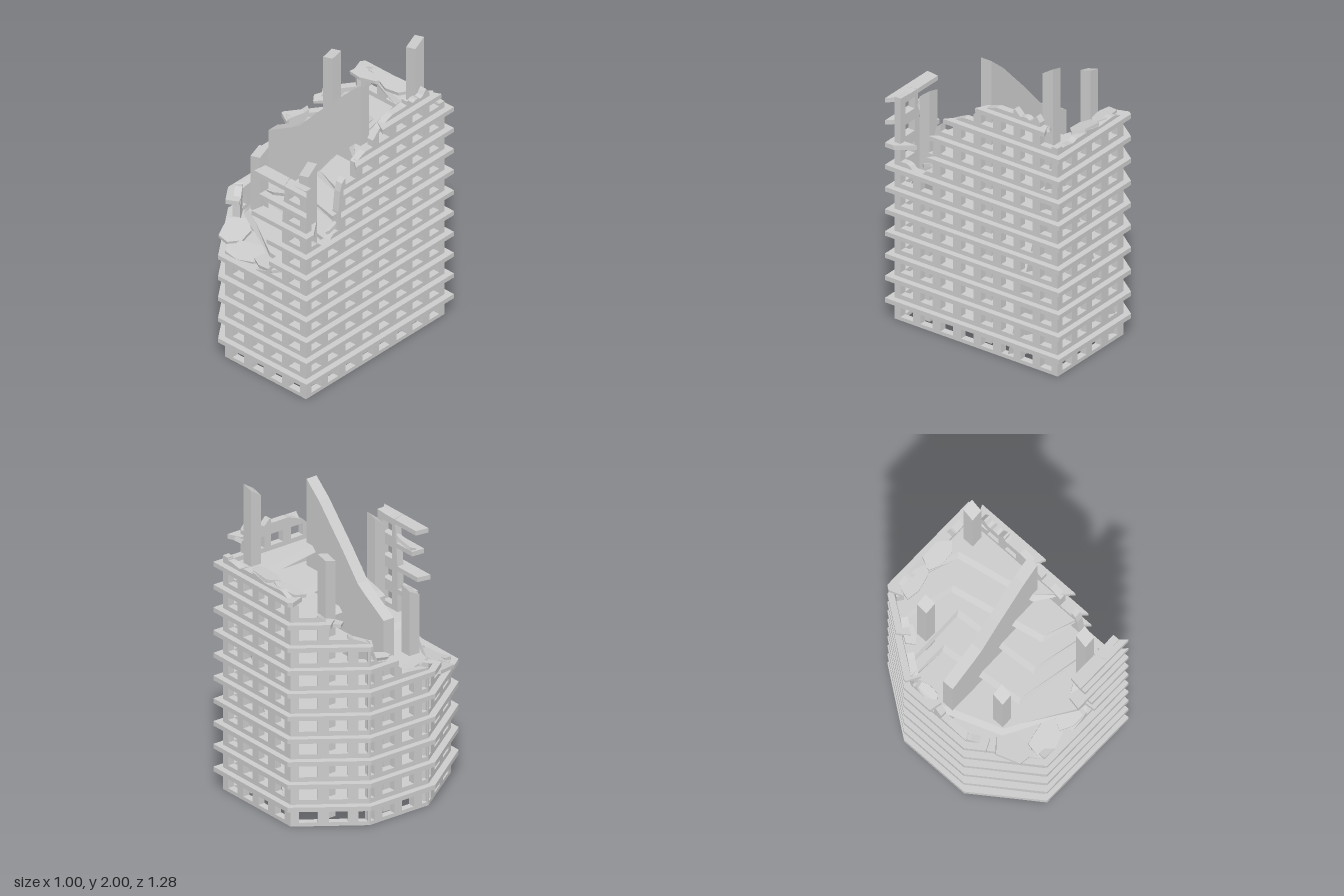
import * as THREE from 'three';
import { mergeGeometries } from 'three/addons/utils/BufferGeometryUtils.js';

const PITCH = 0.149;
// plan corners [x, z]: wall face and slab overhang
const WALL = [[-0.19, 0.6], [0.46, 0.6], [0.46, -0.6], [-0.19, -0.6], [-0.46, -0.22], [-0.46, 0.22]];
const RIM = [[-0.21, 0.64], [0.5, 0.64], [0.5, -0.64], [-0.21, -0.64], [-0.5, -0.24], [-0.5, 0.24]];
const GRID_Z = [0.51, 0.365, 0.215, 0.065, -0.08, -0.23, -0.37, -0.515];
const GRID_X = [-0.085, 0.075, 0.22, 0.365];

// each side: measuring axis (0 = x, 1 = z), broken top line as [position, height]
const SIDES = [
  { name: 'frontWall', axis: 0, top: [[-0.19, 0.76], [0, 0.72], [0.14, 0.77], [0.24, 0.9], [0.27, 1.2], [0.29, 1.48], [0.46, 1.49]] },
  { name: 'leftSideWall', axis: 1, top: [[0.6, 1.47], [0.56, 1.3], [0.51, 1.08], [0.43, 1], [0.36, 1.07], [0.32, 1.2], [0.3, 1.38],
    [0.2, 1.46], [0.04, 1.54], [-0.04, 1.62], [-0.15, 1.66], [-0.26, 1.66], [-0.28, 1.7], [-0.34, 1.64], [-0.36, 1.71], [-0.4, 1.64],
    [-0.44, 1.7], [-0.5, 1.62], [-0.55, 1.53], [-0.6, 1.53]] },
  { name: 'backWall', axis: 0, top: [[0.46, 1.53], [0.3, 1.5], [0.22, 1.54], [0.05, 1.5], [-0.1, 1.51], [-0.19, 1.47]] },
  { name: 'backCornerWall', axis: 1, top: [[-0.6, 1.47], [-0.45, 1.36], [-0.4, 1.3], [-0.3, 1.22], [-0.22, 1.19]] },
  { name: 'rightSideWall', axis: 1, top: [[-0.22, 1.2], [-0.16, 1.05], [-0.05, 1.03], [0.05, 0.92], [0.22, 0.9]] },
  { name: 'frontCornerWall', axis: 1, top: [[0.22, 0.93], [0.3, 0.88], [0.4, 0.76], [0.6, 0.74]] },
];

const mat = () => new THREE.MeshStandardMaterial({ color: 0xcccccc, flatShading: true });
const lerp2 = (a, b, t) => [a[0] + (b[0] - a[0]) * t, a[1] + (b[1] - a[1]) * t];
const levelY = (k) => 0.113 + k * PITCH;

function add(parent, geo, name) {
  const m = new THREE.Mesh(geo, mat());
  m.name = name;
  parent.add(m);
  return m;
}

function prism(pts, depth) {
  return new THREE.ExtrudeGeometry(new THREE.Shape(pts.map((p) => new THREE.Vector2(p[0], p[1]))), { depth, bevelEnabled: false });
}

// horizontal plate from [x, z] corners
function plate(pts, y, h = 0.03) {
  return prism(pts.map(([x, z]) => [x, -z]), h).rotateX(-Math.PI / 2).translate(0, y, 0);
}

// height of a broken line at fraction t
function heightAt(line, t) {
  const s = line[0][0] + (line[line.length - 1][0] - line[0][0]) * t;
  for (let i = 0; i < line.length - 1; i++) {
    const [a, ha] = line[i], [b, hb] = line[i + 1];
    const f = (s - a) / (b - a);
    if (f <= 1.0001) return ha + (hb - ha) * Math.max(0, f);
  }
  return line[line.length - 1][1];
}

// windowed wall made of piers and spandrels below its broken top
function buildWall(side, i) {
  const p0 = WALL[i], p1 = WALL[(i + 1) % 6], a = side.axis;
  const len = Math.hypot(p1[0] - p0[0], p1[1] - p0[1]);
  const frac = (s) => (s - p0[a]) / (p1[a] - p0[a]);
  const wins = (a ? GRID_Z : GRID_X)
    .map((c) => [frac(c - 0.045), frac(c + 0.045)].sort((x, y) => x - y))
    .map(([x, y]) => [Math.max(x, 0.025), Math.min(y, 0.975)])
    .filter(([x, y]) => y - x > 0.03).sort((x, y) => x[0] - y[0]);
  const geos = [];
  const top = (t) => heightAt(side.top, t);
  const panel = (t0, t1, y0, y1) => {
    const pts = [[t0 * len, y0], [t1 * len, y0]];
    for (let k = 4; k >= 0; k--) {
      const t = t0 + (t1 - t0) * k / 4;
      pts.push([t * len, Math.min(y1, top(t))]);
    }
    if (pts.slice(2).every((p) => p[1] > y0 + 0.004)) geos.push(prism(pts, 0.045));
  };
  let t = 0;
  for (const [w0, w1] of [...wins, [1, 1]]) {
    panel(t, w0, 0, 9);
    t = w1;
  }
  for (const [w0, w1] of wins) {
    panel(w0, w1, 0, 0.024);
    for (let k = 0; k < 11; k++) panel(w0, w1, k * PITCH + 0.1, (k + 1) * PITCH + 0.024);
  }
  const u = new THREE.Vector3((p1[0] - p0[0]) / len, 0, (p1[1] - p0[1]) / len);
  const up = new THREE.Vector3(0, 1, 0), n = u.clone().cross(up);
  const m = new THREE.Matrix4().makeBasis(u, up, n).setPosition(p0[0] - n.x * 0.045, 0, p0[1] - n.z * 0.045);
  return mergeGeometries(geos).applyMatrix4(m);
}

// piece of projecting ledge between fractions t0 and t1 of a side
function ledge(i, t0, t1, k) {
  const j = (i + 1) % 6, inner = (q) => [q[0] * 0.91, q[1] * 0.925];
  const A = inner(WALL[i]), B = inner(WALL[j]);
  return plate([lerp2(RIM[i], RIM[j], t0), lerp2(RIM[i], RIM[j], t1),
    lerp2(A, B, Math.min(1, t1 + (t1 < 0.99 ? 0.03 : 0))), lerp2(A, B, Math.max(0, t0 + (t0 > 0.01 ? 0.04 : 0)))], levelY(k));
}

export function createModel() {
  const g = new THREE.Group();
  g.name = 'ruinedBuilding';

  SIDES.forEach((s, i) => add(g, buildWall(s, i), s.name));

  // ledges wherever the wall still reaches the level
  const ledges = [];
  for (let k = 0; k < 11; k++) {
    SIDES.forEach((s, i) => {
      const N = 60;
      let start = -1;
      for (let n = 0; n <= N + 1; n++) {
        const ok = n <= N && heightAt(s.top, n / N) >= levelY(k) - 0.005;
        if (ok && start < 0) start = n;
        if (!ok && start >= 0) {
          if (n - 1 - start > 1) ledges.push(ledge(i, start / N, (n - 1) / N, k));
          start = -1;
        }
      }
    });
  }
  // overhanging remains on the front
  for (const [k, x] of [[5, 0.2], [6, 0.18], [7, 0.06], [8, 0.12], [9, 0.08]]) ledges.push(ledge(0, (x + 0.21) / 0.71, 0.75, k));
  add(g, mergeGeometries(ledges), 'ledges');

  // whole floors
  for (let k = 0; k < 4; k++) add(g, plate(WALL.map(([x, z]) => [x * 0.97, z * 0.97]), levelY(k) + 0.002, 0.026), 'floor');
  add(g, plate([[-0.45, 0.2], [-0.28, 0.4], [-0.2, 0.5], [-0.05, 0.47], [0.1, 0.55], [0.45, 0.58], [0.45, -0.59], [-0.19, -0.59], [-0.45, -0.22]], levelY(4)), 'floor');

  // broken floors stepping back toward the rear corner
  const BROKEN = [
    [[-0.45, -0.1], [-0.41, -0.1], [-0.25, 0.33], [-0.16, 0.38], [0.14, 0.57], [0.45, 0.59]],
    [[-0.45, -0.25], [-0.14, -0.25], [-0.08, 0.31], [0.45, 0.41]],
    [[-0.4, -0.29], [0.04, -0.3], [0.08, 0.28], [0.45, 0.36]],
    [[-0.26, -0.48], [0.09, -0.39], [0.22, 0.22], [0.45, 0.3]],
    [[-0.19, -0.59], [0.23, -0.47], [0.33, 0.04], [0.45, 0.16]],
  ];
  BROKEN.forEach((edge, i) => {
    const corners = [[0.45, -0.59], [-0.19, -0.59], [-0.45, -0.22]].slice(0, i === 4 ? 1 : i > 2 ? 2 : 3);
    const geo = plate([...edge, ...corners], levelY(5 + i));
    const p = geo.attributes.position;
    // lower face of the fracture reaches further out
    for (let v = 0; v < p.count; v++) {
      if (p.getY(v) < levelY(5 + i) + 0.01 && Math.abs(p.getX(v)) < 0.42 && Math.abs(p.getZ(v)) < 0.5) {
        p.setX(v, p.getX(v) - 0.03);
        p.setZ(v, p.getZ(v) + 0.015);
      }
    }
    geo.computeVertexNormals();
    add(g, geo, 'brokenFloor');
  });

  // central core wall with diagonal break
  add(g, prism([[-0.37, 0], [0.37, 0], [0.37, 1.9], [0.25, 1.8], [0.03, 1.57], [-0.12, 1.4], [-0.18, 1.36], [-0.37, 1.25]], 0.075)
    .translate(0, 0, -0.045), 'coreWall');

  // columns with slanted tops
  for (const [x, z, h, d] of [[0.345, -0.47, 2, 0.05], [-0.2, -0.34, 1.71, 0.02], [-0.21, 0.28, 1.33, 0.04], [0.333, 0.445, 1.55, 0.06]]) {
    const geo = new THREE.BoxGeometry(0.075, h, 0.075).translate(x, h / 2, z);
    const p = geo.attributes.position;
    for (let v = 0; v < p.count; v++) {
      if (p.getY(v) > 0.1) p.setY(v, h - (p.getZ(v) > z ? d : 0) - (p.getX(v) < x ? 0.02 : 0));
    }
    add(g, geo, 'column');
  }

  // leaning sheet across the rear corner, facing outward
  const sheet = new THREE.BufferGeometry();
  sheet.setAttribute('position', new THREE.Float32BufferAttribute([0.45, 0, -0.22, -0.19, 0, -0.6, 0.45, 1.5, -0.56], 3));
  sheet.computeVertexNormals();
  add(g, sheet, 'leaningSheet');

  // fallen plates: position, size, tilt
  const PLATES = [
    [-0.27, 0.77, 0.42, 0.18, 0.22, 0.2, 0.5, -0.15], [-0.08, 0.75, 0.52, 0.26, 0.16, 0.25, 0.1, 0.05],
    [0.12, 0.78, 0.54, 0.24, 0.12, 0.2, -0.2, 0.15], [0.23, 0.87, 0.5, 0.12, 0.12, 0.3, 0.4, 0.1],
    [0.4, 0.93, 0.44, 0.08, 0.16, 0.1, 0.1, 1.2], [0.44, 1.1, 0.35, 0.03, 0.12, 0.3, 0.1, 0.1],
    [0.22, 1.36, 0.57, 0.18, 0.05, 0.2, 0.1, 0.25], [-0.08, 1.49, -0.53, 0.24, 0.1, 0.1, 0.1, 0.05],
    [0.13, 1.51, -0.54, 0.22, 0.12, 0.2, -0.1, 0.08], [-0.3, 1.31, -0.38, 0.14, 0.08, 0.1, 0.9, 0.1],
    [-0.42, 1.06, -0.12, 0.06, 0.16, 0.2, 0.1, 0.3], [0.44, 1.6, -0.46, 0.08, 0.14, 0.3, 0.2, 0.1],
  ];
  for (const [x, y, z, w, d, rx, ry, rz] of PLATES) {
    const geo = plate([[-w / 2, d * 0.3], [-w * 0.15, d / 2], [w * 0.3, d * 0.35], [w / 2, -d * 0.1], [w * 0.2, -d / 2], [-w * 0.4, -d * 0.4]], -0.01, 0.022);
    const m = add(g, geo, 'fallenPlate');
    m.position.set(x, y, z);
    m.rotation.set(rx, ry, rz);
  }
  return g;
}
